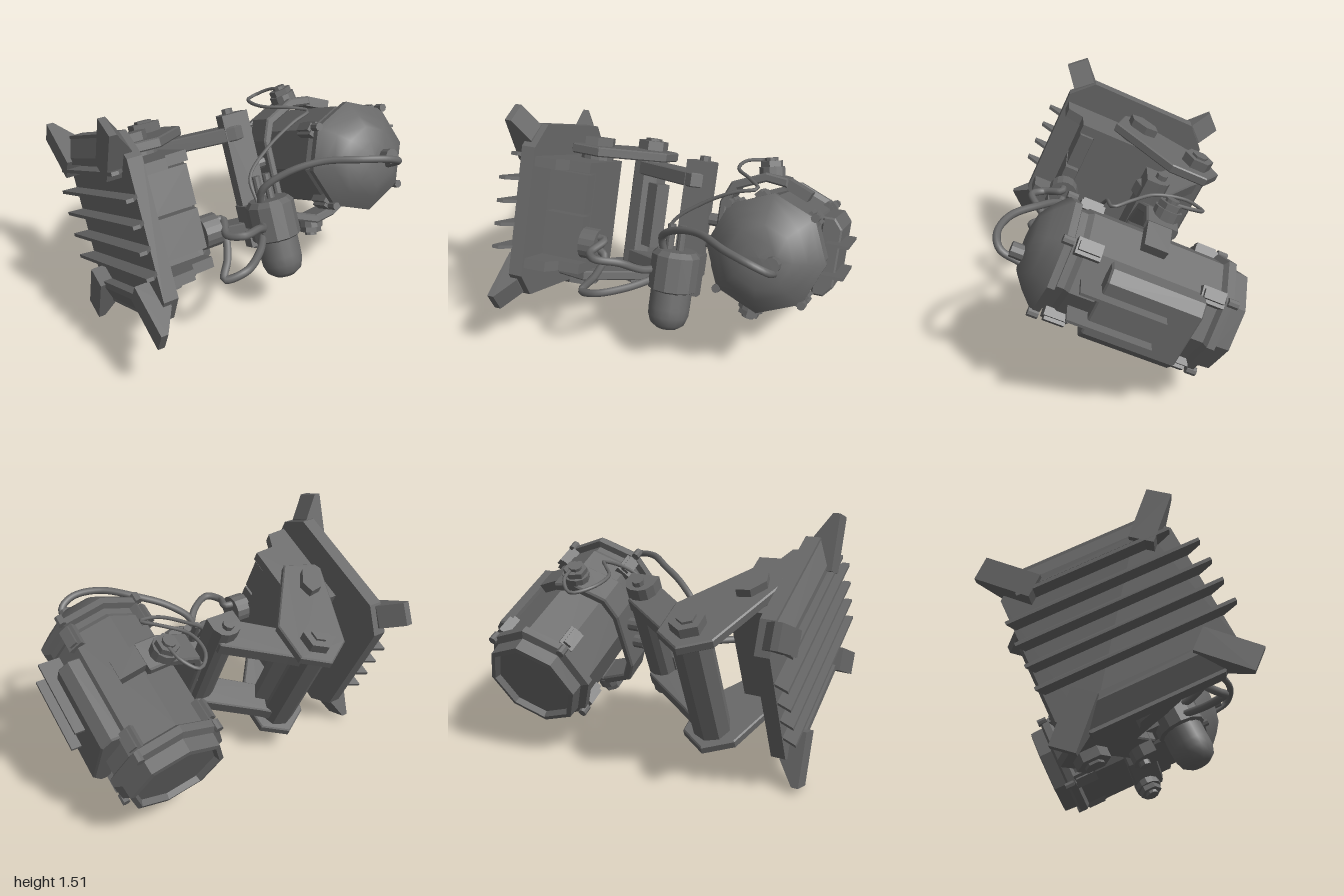
import * as THREE from 'three';

const mat = new THREE.MeshStandardMaterial({ color: 0x686868, flatShading: true, side: THREE.DoubleSide });
const smooth = new THREE.MeshStandardMaterial({ color: 0x686868, side: THREE.DoubleSide });

function add(parent, name, geo, x = 0, y = 0, z = 0, m = mat) {
  const mesh = new THREE.Mesh(geo, m);
  mesh.name = name;
  mesh.position.set(x, y, z);
  parent.add(mesh);
  return mesh;
}
const box = (p, name, sx, sy, sz, x, y, z) => add(p, name, new THREE.BoxGeometry(sx, sy, sz), x, y, z);
const rod = (p, name, r, h, x, y, z, sides = 16) =>
  add(p, name, new THREE.CylinderGeometry(r, r, h, sides), x, y, z);
const vecs = pts => pts.map(a => new THREE.Vector2(...a));

// Extrusion centred on its depth
function slab(pts, depth, bevel = 0) {
  const g = new THREE.ExtrudeGeometry(new THREE.Shape(vecs(pts)), {
    depth: depth - 2 * bevel, bevelEnabled: bevel > 0, bevelSize: bevel, bevelOffset: -bevel,
    bevelThickness: bevel, bevelSegments: 1,
  });
  return g.translate(0, 0, -depth / 2 + bevel);
}
// Flat plate outlined in x and z
const plate = (pts, thickness, bevel) => slab(pts, thickness, bevel).rotateX(Math.PI / 2);

function cable(p, name, pts, r) {
  const curve = new THREE.CatmullRomCurve3(pts.map(a => new THREE.Vector3(...a)));
  return add(p, name, new THREE.TubeGeometry(curve, 50, r, 8), 0, 0, 0, smooth);
}

function wallBase(rig) {
  const g = new THREE.Group();
  g.name = 'wallBase';
  rig.add(g);
  const H = 0.52, W = 0.495, c = 0.135;
  const oct = [[W, H - c], [W - c, H], [c - W, H], [-W, H - c], [-W, c - H], [c - W, -H], [W - c, -H], [W, c - H]];
  add(g, 'basePlate', slab(oct, 0.085).rotateY(Math.PI / 2), -0.8725, 0, 0);
  // Sloped backing ridges above and below the fins
  const ridge = [[-0.91, 0.51], [-0.97, 0.4], [-0.97, 0.36], [-0.91, 0.36]];
  for (const s of [1, -1]) add(g, 'backRidge', slab(ridge, 0.74)).rotation.x = s > 0 ? 0 : Math.PI;
  // Wedge feet on the four corners
  const foot = [[-1, 0.45], [-0.85, 0.45], [-0.87, 0.63], [-0.96, 0.77], [-1, 0.77]];
  for (const a of [0.74, -0.74, Math.PI - 0.74, Math.PI + 0.74])
    add(g, 'foot', slab(foot, 0.14)).rotation.x = a;
  // Cooling fins across the back
  for (let i = 0; i < 5; i++) {
    const half = i === 4 ? 0.46 : 0.57;
    const fin = [[-0.9, -half + 0.09], [-0.9, half - 0.09], [-0.96, half], [-1, half], [-1, 0.05 - half]];
    add(g, 'coolingFin', plate(fin, 0.02), 0, -0.22 + i * 0.137, 0);
  }
  // Mounting block: core, lips above and below, two raised pads
  const core = [[-0.83, -0.12], [-0.53, -0.12], [-0.53, 0.26], [-0.83, 0.26]];
  add(g, 'mountCore', plate(core, 0.62), 0, 0, 0);
  const lip = [[-0.83, -0.12], [-0.53, -0.12], [-0.53, 0.36], [-0.66, 0.37], [-0.7, 0.47], [-0.83, 0.48]];
  for (const s of [1, -1]) {
    add(g, 'mountLip', plate(lip, 0.06), 0, s * 0.305, 0);
    box(g, 'mountPad', 0.25, 0.23, 0.12, -0.665, 0.02 + s * 0.125, 0.29);
  }
  rod(g, 'mountBarrel', 0.1, 0.8, -0.65, 0, 0, 12);
  rod(g, 'cableSocket', 0.095, 0.1, -0.49, -0.146, 0.3).rotation.z = Math.PI / 2;
}

function arm(rig) {
  const g = new THREE.Group();
  g.name = 'arm';
  rig.add(g);
  const clevis = [[-0.43, -0.57], [-0.6, -0.47], [-0.8, 0.06], [-0.78, 0.1], [-0.58, 0.16], [-0.27, -0.226], [-0.27, -0.47]];
  const link = [[-0.47, -0.3], [-0.5, -0.42], [-0.4, -0.49], [-0.27, -0.4], [0.08, -0.18], [0.09, -0.05], [-0.02, 0]];
  for (const s of [1, -1]) {
    add(g, 'clevisPlate', plate(clevis, 0.06, 0.008), 0, s * 0.39, 0);
    add(g, 'linkPlate', plate(link, 0.09, 0.008), 0, s * 0.3, 0);
    rod(g, 'elbowNut', 0.1, 0.06, -0.43, s * 0.45, -0.4, 6);
    rod(g, 'elbowBolt', 0.055, 0.09, -0.43, s * 0.45, -0.4, 6);
    const nut = rod(g, 'mountNut', 0.085, 0.05, -0.65, s * 0.445, -0.02, 6);
    nut.scale.set(0.8, 1, 1.3);
    nut.rotation.y = -0.6;
    rod(g, 'wristBolt', 0.035, 0.04, 0.02, s * 0.43, -0.12, 8);
    const knob = rod(g, 'wristKnob', 0.04, 0.09, 0.15, s * 0.07, -0.1, 10);
    knob.rotation.z = Math.PI / 2;
  }
  rod(g, 'elbowBarrel', 0.115, 0.76, -0.43, 0, -0.4, 8);
  box(g, 'linkWeb', 0.16, 0.42, 0.1, -0.35, 0, -0.33).rotation.y = -0.6;
  // Upright at the wrist, flat in front and rounded behind
  const upright = [[-0.07, -0.03], [0.11, -0.03], [0.11, -0.11], [0.085, -0.16], [0.045, -0.18], [-0.005, -0.18], [-0.045, -0.16], [-0.07, -0.11]];
  add(g, 'wristUpright', plate(upright, 0.84), 0, 0, 0);
}

function canister(rig) {
  const g = new THREE.Group();
  g.name = 'canister';
  g.position.set(0.005, 0, 0.17);
  rig.add(g);
  const dome = [[0, -0.597], [0.065, -0.59], [0.105, -0.56], [0.123, -0.51], [0.125, -0.46], [0.125, -0.34]];
  add(g, 'canisterDome', new THREE.LatheGeometry(vecs(dome), 16), 0, 0, 0, smooth);
  const collar = [[0.12, -0.36], [0.148, -0.345], [0.148, -0.14], [0.12, -0.11], [0, -0.11]];
  add(g, 'canisterCollar', new THREE.LatheGeometry(vecs(collar), 12));
  box(g, 'canisterBracket', 0.2, 0.14, 0.26, 0.015, -0.22, -0.15);
  for (const x of [-0.05, 0.02]) rod(g, 'canisterPost', 0.025, 0.16, x, -0.04, 0, 10);
}

function lamp(rig) {
  const g = new THREE.Group();
  g.name = 'lamp';
  g.position.x = 0.57;
  rig.add(g);
  // Eight-sided housing with recessed lens at the rear
  const body = [[0, -0.65], [0.255, -0.65], [0.27, -0.685], [0.3, -0.68], [0.305, -0.6], [0.35, -0.585], [0.35, -0.54],
    [0.318, -0.52], [0.318, 0.25], [0.3, 0.28], [0.3, 0.32], [0.34, 0.33], [0.34, 0.37]];
  add(g, 'housing', new THREE.LatheGeometry(vecs(body), 8).rotateX(Math.PI / 2));
  const dome = [[0.34, 0.37], [0.315, 0.395], [0.25, 0.455], [0.18, 0.505], [0.09, 0.525], [0, 0.53]];
  add(g, 'frontDome', new THREE.LatheGeometry(vecs(dome), 8).rotateX(Math.PI / 2), 0, 0, 0, smooth);
  // Clips on the diagonal edges, with bolts on the rims
  for (let i = 0; i < 4; i++) {
    const edge = new THREE.Group();
    edge.name = 'edgeClips';
    edge.rotation.z = Math.PI / 4 + i * Math.PI / 2;
    g.add(edge);
    for (const [z, rim] of [[0.24, 0.36], [-0.47, -0.58]]) {
      box(edge, 'clip', 0.05, 0.09, 0.14, 0.315, 0, z);
      box(edge, 'clipLatch', 0.03, 0.05, 0.12, 0.345, 0, z);
      rod(edge, 'rimBolt', 0.025, 0.06, 0.345, 0, rim, 8).rotation.x = Math.PI / 2;
    }
  }
  // Raised side panel with two fins
  const panel = [[0.25, -0.23], [0.32, -0.23], [0.37, -0.17], [0.37, 0.17], [0.32, 0.23], [0.25, 0.23]];
  add(g, 'sidePanel', slab(panel, 0.54, 0.01), 0, 0, -0.16);
  for (const s of [1, -1]) box(g, 'sideFin', 0.13, 0.016, 0.48, 0.365, s * 0.09, -0.015);
  rod(g, 'cablePlug', 0.045, 0.1, 0.08, -0.02, 0.54, 10).rotation.x = Math.PI / 2;
}

function yoke(rig) {
  const g = new THREE.Group();
  g.name = 'yoke';
  rig.add(g);
  // Bent strap wrapped round one side of the lamp, with narrower end tabs
  const outer = [[0.175, 0.2], [0.23, 0.33], [0.43, 0.415], [0.57, 0.4]];
  const inner = [[0.57, 0.345], [0.44, 0.36], [0.27, 0.29], [0.22, 0.18]];
  const flip = pts => pts.map(([x, y]) => [x, -y]).reverse();
  add(g, 'yokeStrap', slab([...outer, ...inner, ...flip(inner), ...flip(outer)], 0.19, 0.01), 0, 0, -0.11);
  for (const s of [1, -1]) {
    box(g, 'yokeTab', 0.17, 0.06, 0.14, 0.63, s * 0.34, -0.095).rotation.z = -s * 0.39;
    const pivot = new THREE.Group();
    pivot.name = 'pivotKnob';
    pivot.position.set(0.45, s * 0.4, -0.13);
    pivot.rotation.z = s * 0.2;
    g.add(pivot);
    rod(pivot, 'knobBase', 0.08, 0.06, 0, s * 0.02, 0, 12);
    rod(pivot, 'knobNut', 0.07, 0.05, 0, s * 0.06, 0, 6);
    rod(pivot, 'knobTip', 0.04, 0.03, 0, s * 0.09, 0, 10);
  }
}

export function createModel() {
  const root = new THREE.Group();
  root.name = 'articulatedSpotlight';
  // The whole assembly is tipped about the wall axis
  const rig = new THREE.Group();
  rig.name = 'tiltedAssembly';
  rig.position.y = 0.76;
  rig.rotation.x = -0.428;
  root.add(rig);
  [wallBase, arm, canister, lamp, yoke].forEach(build => build(rig));

  // Hanging cables
  cable(root, 'lampCable', [[-0.06, 0.68, 0.22], [-0.07, 0.84, 0.25], [0.05, 0.95, 0.32], [0.22, 1.02, 0.42],
    [0.4, 1.05, 0.57], [0.56, 1.03, 0.625], [0.65, 0.98, 0.6], [0.66, 0.91, 0.5]], 0.022);
  cable(root, 'upperCable', [[-0.5, 0.8, 0.33], [-0.4, 0.8, 0.34], [-0.44, 0.78, 0.46], [-0.38, 0.79, 0.53],
    [-0.25, 0.76, 0.48], [-0.15, 0.67, 0.38], [-0.08, 0.62, 0.26]], 0.024);
  cable(root, 'lowerCable', [[-0.48, 0.73, 0.33], [-0.4, 0.7, 0.36], [-0.43, 0.6, 0.44], [-0.49, 0.53, 0.51],
    [-0.38, 0.56, 0.55], [-0.22, 0.57, 0.45], [-0.08, 0.57, 0.28]], 0.024);
  cable(root, 'thinWire', [[-0.07, 0.72, 0.2], [-0.06, 0.85, 0.1], [0.1, 0.98, 0.05], [0.3, 1.09, 0.03], [0.43, 1.12, 0],
    [0.36, 1.12, -0.1], [0.25, 1.1, -0.24], [0.26, 1.07, -0.42], [0.35, 1.05, -0.5], [0.43, 1.1, -0.44], [0.45, 1.14, -0.34]], 0.011);
  return root;
}
